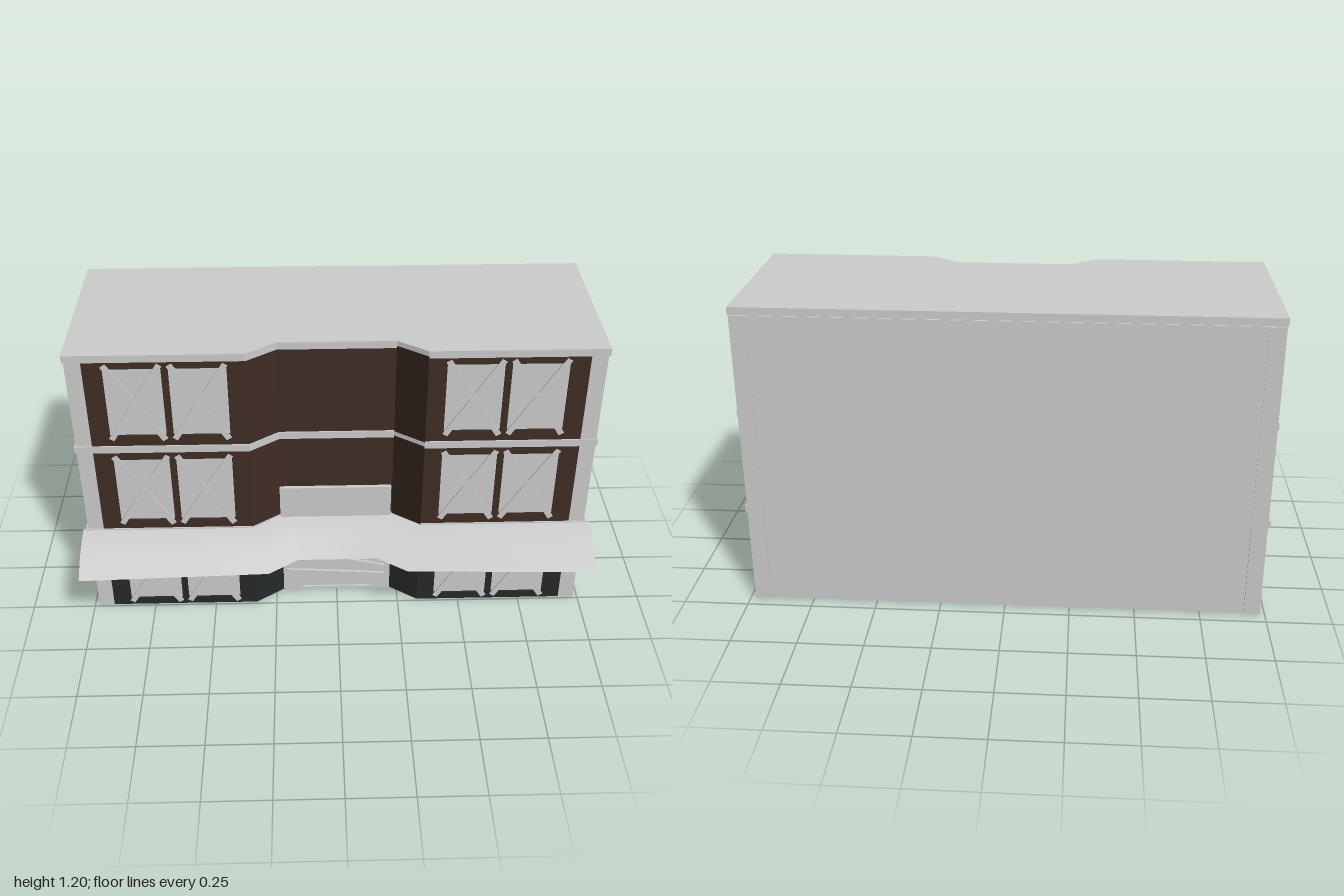
import * as THREE from 'three';
import { toCreasedNormals } from 'three/addons/utils/BufferGeometryUtils.js';

const mat = (color) => new THREE.MeshStandardMaterial({ color });
const grey = mat(0xcccccc), brown = mat(0x3f2c24), darkBrown = mat(0x2f211b), black = mat(0x262929);
const CORE = 0.235, FACE = 0.243, DEPTH = 0.078;

export function createModel() {
  const root = new THREE.Group();
  const add = (name, geo, material = grey, parent = root) => {
    const mesh = new THREE.Mesh(geo, material);
    mesh.name = name;
    parent.add(mesh);
    return mesh;
  };
  const box = (name, x0, x1, y0, y1, z0, z1, material, parent) => {
    const mesh = add(name, new THREE.BoxGeometry(x1 - x0, y1 - y0, z1 - z0), material, parent);
    mesh.position.set((x0 + x1) / 2, (y0 + y1) / 2, (z0 + z1) / 2);
    return mesh;
  };
  // Plan outline [x, z] raised from y0 to y1
  const slab = (name, plan, y0, y1, material) => {
    const shape = new THREE.Shape(plan.map(([x, z]) => new THREE.Vector2(x, -z)));
    const geo = new THREE.ExtrudeGeometry(shape, { depth: y1 - y0, bevelEnabled: false });
    geo.rotateX(-Math.PI / 2).translate(0, y0, 0);
    return add(name, geo, material);
  };
  // Front line with the set-back middle bay
  const bay = (z) => [[0.33, z], [0.22, z - DEPTH], [-0.22, z - DEPTH], [-0.33, z]];
  const plan = (half, back, z) => [[-half, back], [half, back], [half, z], ...bay(z), [-half, z]];

  // Solid core, floor bands and roof
  slab('buildingCore', plan(0.98, -0.443, CORE), 0, 1.166);
  slab('roof', plan(0.987, -0.44, 0.248), 1.165, 1.195);
  slab('upperBand', plan(0.987, -0.44, 0.248), 0.77, 0.8);
  slab('lowerBand', plan(0.99, -0.446, 0.248), 0.375, 0.405);

  // Corner piers and rear wall
  for (const s of [-1, 1]) {
    const a = Math.min(s * 0.92, s * 0.981), b = Math.max(s * 0.92, s * 0.981);
    box('frontPier', a, b, 0, 1.165, 0.2, FACE);
    box('rearPier', a, b, 0, 1.165, -0.449, -0.4);
  }
  box('rearUpperWall', -0.92, 0.92, 0.39, 1.165, -0.446, -0.43);

  // Facade panels, windows and crossed boards, per floor
  const floors = [
    { y0: 0.003, y1: 0.375, mid: 0.18, material: black },
    { y0: 0.405, y1: 0.77, mid: 0.59, material: brown },
    { y0: 0.8, y1: 1.165, mid: 0.99, material: brown },
  ];
  const windows = [0.505, 0.742], W = 0.106, H = 0.145;
  floors.forEach(({ y0, y1, mid, material }, level) => {
    for (const s of [-1, 1]) {
      const wing = new THREE.Group();
      wing.name = s > 0 ? 'leftWingFloor' : 'rightWingFloor';
      root.add(wing);
      const rect = (T, x0, x1, b, t) => new T([[x0, b], [x1, b], [x1, t], [x0, t]]
        .map(([x, y]) => new THREE.Vector2(x, y)));
      const panel = rect(THREE.Shape, Math.min(s * 0.33, s * 0.92), Math.max(s * 0.33, s * 0.92), y0, y1);
      for (const wx of windows) {
        const cx = s * wx;
        panel.holes.push(rect(THREE.Path, cx - W, cx + W, mid - H, mid + H));
        for (const d of [-1, 1]) {
          const board = box('windowBoard', cx - 0.011, cx + 0.011, mid - 0.19, mid + 0.19, 0.241, 0.248, grey, wing);
          board.rotation.z = d * 0.56;
          board.position.z += d * 0.002;
        }
      }
      const geo = new THREE.ExtrudeGeometry(panel, { depth: FACE - CORE + 0.002, bevelEnabled: false });
      add('windowPanel', geo.translate(0, 0, CORE - 0.002), material, wing);
      // Angled wall between wing and middle bay
      const tall = s > 0 && level > 0, front = tall ? 0.251 : FACE;
      slab('angledWall', [[s * 0.33, CORE - 0.004], [s * 0.33, front], [s * 0.22, front - DEPTH],
        [s * 0.22, CORE - DEPTH - 0.004]], y0, y1 + (tall ? 0.009 : 0), tall ? darkBrown : material);
    }
    if (level > 0) box('middleWall', -0.22, 0.22, y0, y1, 0.15, FACE - DEPTH, brown);
  });

  // Entrance: sign panel, door surround, double door and nailed planks
  box('signPanel', -0.225, 0.215, 0.39, 0.54, 0.16, 0.18);
  for (const s of [-1, 1]) {
    box('doorJamb', s * 0.18 - 0.04, s * 0.18 + 0.04, 0, 0.375, 0.15, 0.168);
    box('doorHandle', s * 0.012 - 0.005, s * 0.012 + 0.005, 0.13, 0.145, 0.155, 0.168);
  }
  box('doorLintel', -0.14, 0.14, 0.285, 0.375, 0.15, 0.168);
  box('doorStile', -0.006, 0.006, 0.01, 0.285, 0.15, 0.16);
  box('doorStep', -0.14, 0.14, 0, 0.012, 0.15, 0.165);
  for (const [yc, tilt] of [[0.165, -0.225], [0.09, -0.065]]) {
    const plank = box('doorPlank', -0.203, 0.203, yc - 0.014, yc + 0.014, 0.166, 0.177);
    plank.position.x = -0.005;
    plank.rotation.z = tilt;
  }

  // Awning: curved sheet lofted along the front, following the bay
  const half = [[1, 0.24, 1, 0.448], [0.335, 0.24, 0.27, 0.425], [0.225, 0.162, 0.155, 0.345]];
  const stations = [...half.map(([a, b, c, d]) => [-a, b, -c, d]), ...half.slice().reverse()];
  const curve = new THREE.SplineCurve([[0, 0.402], [0.28, 0.39], [0.56, 0.371], [0.8, 0.341], [1, 0.312]]
    .map(([t, y]) => new THREE.Vector2(t, y)));
  const profile = curve.getPoints(10);
  const ring = [...profile.map((p) => [p.x, p.y]),
    ...profile.slice().reverse().map((p) => [p.x * 0.985, p.y - 0.009 * (1 - p.x * 0.8)])];
  const pos = [], idx = [], n = ring.length;
  for (const [xb, zb, xf, zf] of stations)
    for (const [t, y] of ring) pos.push(xb + (xf - xb) * t, y, zb + (zf - zb) * t);
  for (let i = 0; i < stations.length - 1; i++)
    for (let j = 0; j < n; j++) {
      const a = i * n + j, b = i * n + (j + 1) % n;
      idx.push(a, b, a + n, b, b + n, a + n);
    }
  // End caps
  const last = (stations.length - 1) * n;
  for (let j = 0; j < n / 2 - 1; j++) {
    const k = n - 1 - j;
    idx.push(j, k, j + 1, j + 1, k, k - 1);
    idx.push(last + j, last + j + 1, last + k, last + j + 1, last + k - 1, last + k);
  }
  const awning = new THREE.BufferGeometry();
  awning.setAttribute('position', new THREE.Float32BufferAttribute(pos, 3));
  awning.setIndex(idx);
  const sheet = grey.clone();
  sheet.side = THREE.DoubleSide;
  add('awning', toCreasedNormals(awning, 0.5), sheet);

  return root;
}
